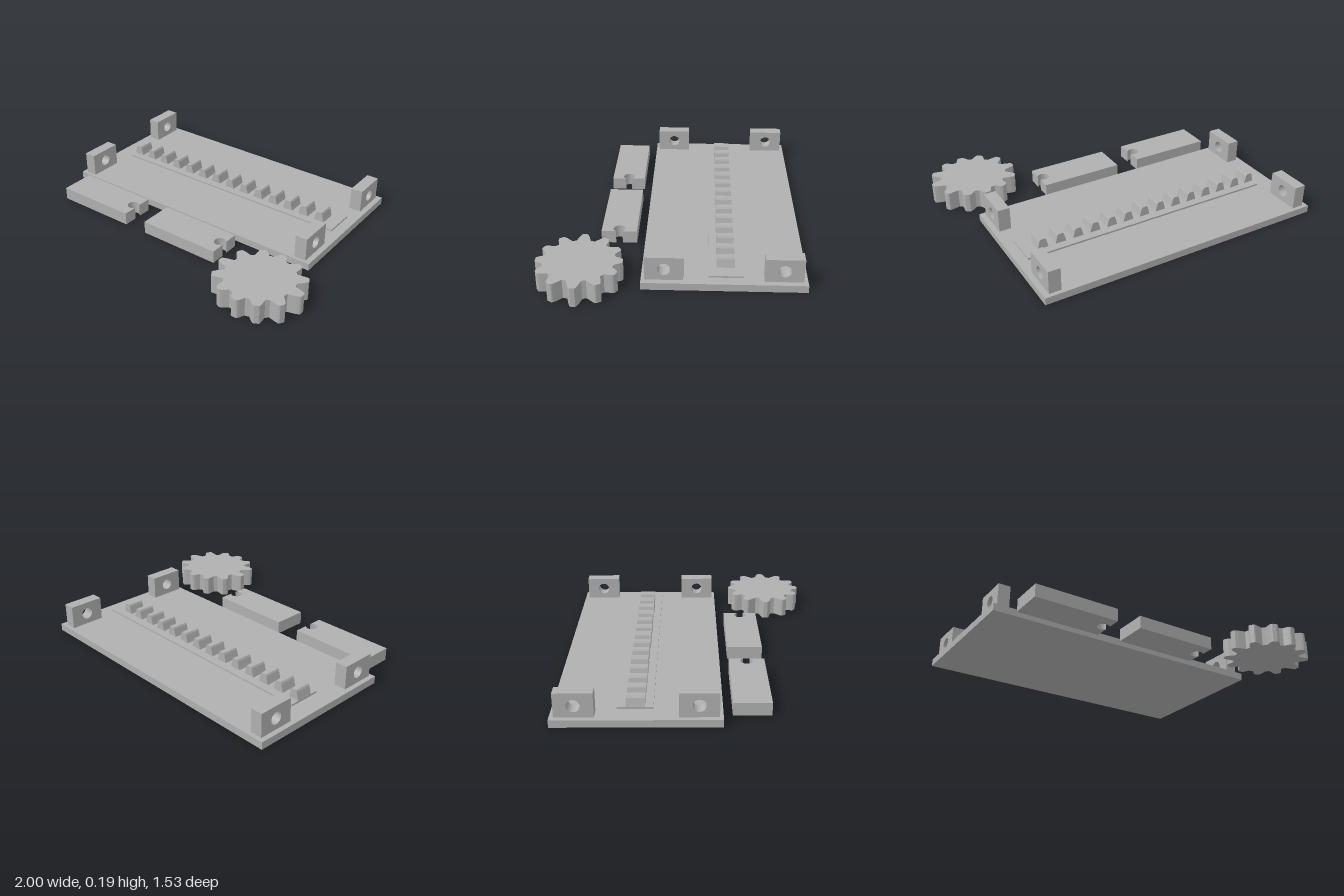
import * as THREE from 'three';

const grey = new THREE.MeshStandardMaterial({ color: 0xb0b0b0 });
grey.name = 'plain grey';

function addMesh(parent, name, geometry, x, y, z) {
  const mesh = new THREE.Mesh(geometry, grey);
  mesh.name = name;
  mesh.position.set(x, y, z);
  parent.add(mesh);
  return mesh;
}

function extrude(shape, depth) {
  return new THREE.ExtrudeGeometry(shape, { depth, bevelEnabled: false, curveSegments: 32 });
}

function polygon(points) {
  return new THREE.Shape(points.map(([x, y]) => new THREE.Vector2(x, y)));
}

// Upright block with a round hole running along x
function bracketGeometry() {
  const shape = polygon([[-0.109, 0], [0.109, 0], [0.109, 0.145], [-0.109, 0.145]]);
  const hole = new THREE.Path();
  hole.absarc(0, 0.07, 0.037, 0, Math.PI * 2, true);
  shape.holes.push(hole);
  return extrude(shape, 0.075).translate(0, 0, -0.0375).rotateY(Math.PI / 2);
}

// Flat bar with a round notch open at its +x end
function barGeometry() {
  const w = 0.267, d = 0.108, r = 0.037, half = 0.02;
  const cx = w - Math.sqrt(r * r - half * half);
  const a = Math.asin(half / r);
  const shape = new THREE.Shape();
  shape.moveTo(-w, -d);
  shape.lineTo(w, -d);
  shape.lineTo(w, -half);
  shape.absarc(cx, 0, r, -a, a - Math.PI * 2, true);
  shape.lineTo(w, d);
  shape.lineTo(-w, d);
  shape.closePath();
  return extrude(shape, 0.08).rotateX(-Math.PI / 2);
}

// Twelve-tooth gear, slightly longer across x
function gearGeometry() {
  const count = 12, root = 0.203;
  // [share of tooth height, half width]
  const flank = [[0, 0.041], [0.3, 0.035], [0.65, 0.028], [0.92, 0.02], [1, 0.013]];
  const profile = [
    ...flank.map(([t, w]) => [t, -w]),
    ...flank.slice().reverse(),
  ];
  const points = [];
  for (let i = 0; i < count; i++) {
    const a = (i / count) * Math.PI * 2;
    const c = Math.cos(a), s = Math.sin(a);
    const tip = Math.hypot(0.275 * c, 0.248 * s);
    for (const [t, w] of profile) {
      const r = root + (tip - root) * t;
      points.push([r * c - w * s, r * s + w * c]);
    }
  }
  return extrude(polygon(points), 0.12).rotateX(-Math.PI / 2);
}

export function createModel() {
  const model = new THREE.Group();
  model.name = 'rackAndGearKit';

  // Base plate with four corner brackets
  addMesh(model, 'basePlate', new THREE.BoxGeometry(1.83, 0.045, 0.935), -0.085, 0.0225, -0.302);
  const bracket = bracketGeometry();
  for (const x of [-0.933, 0.758]) {
    for (const z of [-0.636, 0.036]) addMesh(model, 'bracket', bracket, x, 0.045, z);
  }

  // Rack strip and its teeth
  const rack = new THREE.Group();
  rack.name = 'rack';
  model.add(rack);
  addMesh(rack, 'rackStrip', new THREE.BoxGeometry(1.645, 0.011, 0.2), -0.058, 0.0505, -0.314);
  const tooth = extrude(polygon([
    [-0.035, 0], [0.035, 0], [0.029, 0.022], [0.022, 0.05], [0.016, 0.061],
    [-0.016, 0.061], [-0.022, 0.05], [-0.029, 0.022],
  ]), 0.104).translate(0, 0, -0.052);
  for (let i = 0; i < 14; i++) {
    addMesh(rack, 'rackTooth', tooth, -0.845 + i * 0.1147, 0.055, -0.312);
  }

  // Two notched bars
  const bar = barGeometry();
  for (const x of [-0.613, 0.078]) addMesh(model, 'notchedBar', bar, x, 0, 0.327);

  // Loose gear
  addMesh(model, 'gear', gearGeometry(), 0.725, 0, 0.516);
  return model;
}
